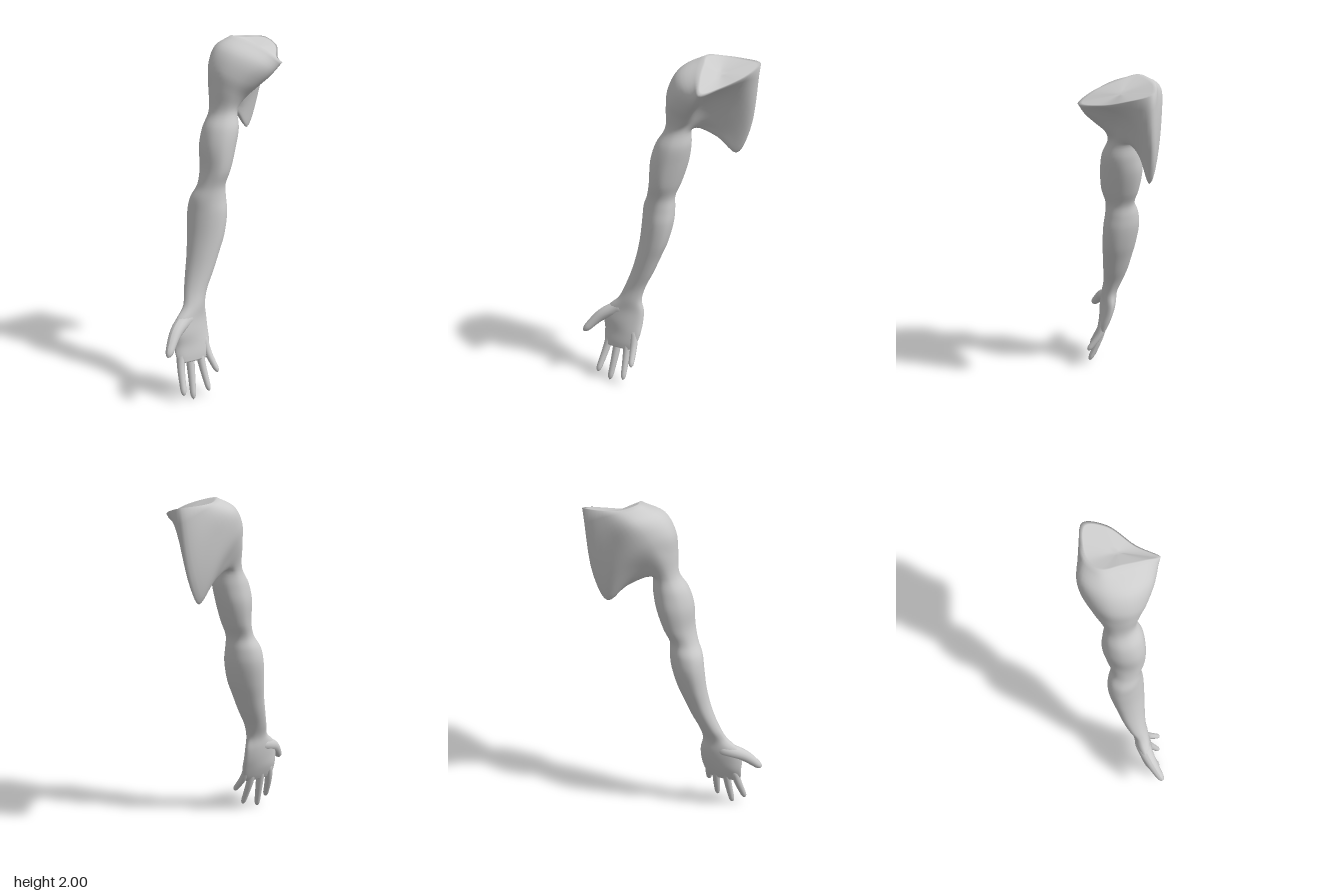
import * as THREE from 'three';

const V = (x, y, z) => new THREE.Vector3(x, y, z);
const COLS = 9, AROUND = 54;

// Arm sections, palm to upper arm: y, centre x, centre z, radius x, radius z, slant of z along x
const sections = [
  [0.215, -0.235, 0.178, 0.09, 0.022, -0.2],
  [0.25, -0.232, 0.167, 0.108, 0.03, -0.2],
  [0.31, -0.23, 0.15, 0.117, 0.038, -0.22],
  [0.38, -0.232, 0.139, 0.118, 0.045, -0.33],
  [0.45, -0.225, 0.126, 0.107, 0.047, -0.35],
  [0.52, -0.2, 0.112, 0.07, 0.048, -0.2],
  [0.6, -0.18, 0.085, 0.066, 0.055, 0.05],
  [0.7, -0.145, 0.058, 0.076, 0.067, 0.2],
  [0.8, -0.115, 0.038, 0.086, 0.077, 0.25],
  [0.9, -0.09, 0.02, 0.1, 0.087, 0.25],
  [1.03, -0.072, 0.003, 0.108, 0.095, 0.2],
  [1.11, -0.065, 0, 0.1, 0.09, 0.1],
  [1.18, -0.047, 0.005, 0.08, 0.084, 0],
  [1.27, -0.02, -0.002, 0.084, 0.108, 0],
  [1.4, 0, -0.015, 0.102, 0.12, 0],
  [1.5, 0.022, -0.022, 0.1, 0.108, 0.05],
  [1.59, 0.045, -0.04, 0.077, 0.086, 0.1],
];

// Shoulder sections flaring to the chest edge and the shoulder blade, one point per column
const shoulder = [
  [[-0.022, 1.72, -0.075], [-0.002, 1.72, 0.015], [0.06, 1.69, 0.063], [0.14, 1.66, 0.035], [0.155, 1.655, -0.035],
    [0.168, 1.605, -0.125], [0.2, 1.535, -0.19], [0.1, 1.66, -0.195], [0.015, 1.74, -0.168]],
  [[-0.015, 1.84, -0.095], [0.014, 1.82, 0.02], [0.1, 1.77, 0.092], [0.205, 1.73, 0.075], [0.2, 1.73, -0.05],
    [0.245, 1.6, -0.18], [0.29, 1.447, -0.247], [0.185, 1.68, -0.273], [0.047, 1.84, -0.218]],
  [[0.04, 1.94, -0.12], [0.08, 1.92, 0.015], [0.19, 1.86, 0.112], [0.275, 1.8, 0.11], [0.28, 1.82, -0.045],
    [0.335, 1.76, -0.18], [0.357, 1.59, -0.28], [0.23, 1.82, -0.288], [0.107, 1.93, -0.255]],
  [[0.15, 2.0, -0.15], [0.2, 1.975, -0.05], [0.27, 1.925, 0.07], [0.325, 1.87, 0.132], [0.365, 1.88, 0],
    [0.432, 1.935, -0.16], [0.412, 1.972, -0.283], [0.29, 1.98, -0.278], [0.2, 1.987, -0.235]],
];

// Surface through closed rows of points, rows rising, both ends fanned to a centre
function loft(rows, bottom, top) {
  const n = rows[0].length, last = (rows.length - 1) * n, index = [];
  const pts = [...rows.flat(), bottom, top];
  for (let j = 0; j < n; j++) {
    const k = (j + 1) % n;
    for (let i = 0; i < last; i += n) index.push(i + j, i + k, i + k + n, i + j, i + k + n, i + j + n);
    index.push(k, j, last + n, last + j, last + k, last + n + 1);
  }
  const g = new THREE.BufferGeometry().setFromPoints(pts);
  g.setIndex(index);
  g.computeVertexNormals();
  return g;
}

// Tapered tube rounded at both ends
function digit(points, r0, r1) {
  const steps = 36, sides = 16;
  const curve = new THREE.CatmullRomCurve3(points.map((p) => V(...p)));
  const g = new THREE.TubeGeometry(curve, steps, 1, sides);
  const pos = g.attributes.position, nor = g.attributes.normal;
  for (let i = 0; i <= steps; i++) {
    const t = i / steps, e = Math.max(0, (t - 0.87) / 0.13, 1 - t / 0.2);
    const r = (r0 + (r1 - r0) * t) * Math.sqrt(Math.max(0.0004, 1 - e * e));
    const c = curve.getPointAt(t);
    for (let j = 0; j <= sides; j++) {
      const k = i * (sides + 1) + j;
      pos.setXYZ(k, c.x + nor.getX(k) * r, c.y + nor.getY(k) * r, c.z + nor.getZ(k) * r);
    }
  }
  g.computeVertexNormals();
  return g;
}

export function createModel() {
  const group = new THREE.Group();
  const material = new THREE.MeshStandardMaterial({ color: 0xcccccc, roughness: 0.8, side: THREE.DoubleSide });
  const add = (name, geometry) => {
    const mesh = new THREE.Mesh(geometry, material);
    mesh.name = name;
    group.add(mesh);
  };

  // Control rings from the knuckles up to the shoulder rim
  const rings = sections.map(([y, cx, cz, rx, rz, slant]) =>
    Array.from({ length: COLS }, (_, k) => {
      const a = Math.PI - (k / COLS) * Math.PI * 2, dx = Math.cos(a) * rx;
      return V(cx + dx, y, cz + Math.sin(a) * rz + slant * dx);
    }));
  shoulder.forEach((ring) => rings.push(ring.map((p) => V(...p))));

  // Smooth along each column, then around each ring
  const columns = Array.from({ length: COLS }, (_, k) => new THREE.CatmullRomCurve3(rings.map((r) => r[k])));
  const count = (rings.length - 1) * 5;
  const rows = [];
  for (let i = 0; i <= count; i++) {
    const ring = new THREE.CatmullRomCurve3(columns.map((c) => c.getPoint(i / count)), true);
    rows.push(Array.from({ length: AROUND }, (_, j) => ring.getPoint(j / AROUND)));
  }

  // Cut face closing the shoulder, dipped in the middle, with a soft rim
  const centre = V(0.29, 1.93, -0.09);
  const rim = rows[count];
  [0.1, 0.3, 0.55, 0.8].forEach((t) => rows.push(rim.map((p) => p.clone().lerp(centre, t))));
  add('armAndShoulder', loft(rows, V(-0.235, 0.207, 0.18), centre));

  // Thumb and fingers, rooted inside the palm
  add('thumb', digit([[-0.2, 0.47, 0.112], [-0.28, 0.438, 0.15], [-0.35, 0.396, 0.203], [-0.427, 0.293, 0.285]], 0.052, 0.02));
  add('indexFinger', digit([[-0.3, 0.32, 0.16], [-0.316, 0.2, 0.196], [-0.328, 0.045, 0.272]], 0.027, 0.016));
  add('middleFinger', digit([[-0.25, 0.32, 0.15], [-0.252, 0.18, 0.187], [-0.258, 0.002, 0.242]], 0.028, 0.016));
  add('ringFinger', digit([[-0.195, 0.32, 0.142], [-0.18, 0.19, 0.172], [-0.158, 0.032, 0.232]], 0.027, 0.015));
  add('littleFinger', digit([[-0.16, 0.35, 0.125], [-0.135, 0.24, 0.158], [-0.1, 0.135, 0.224]], 0.027, 0.015));
  return group;
}
